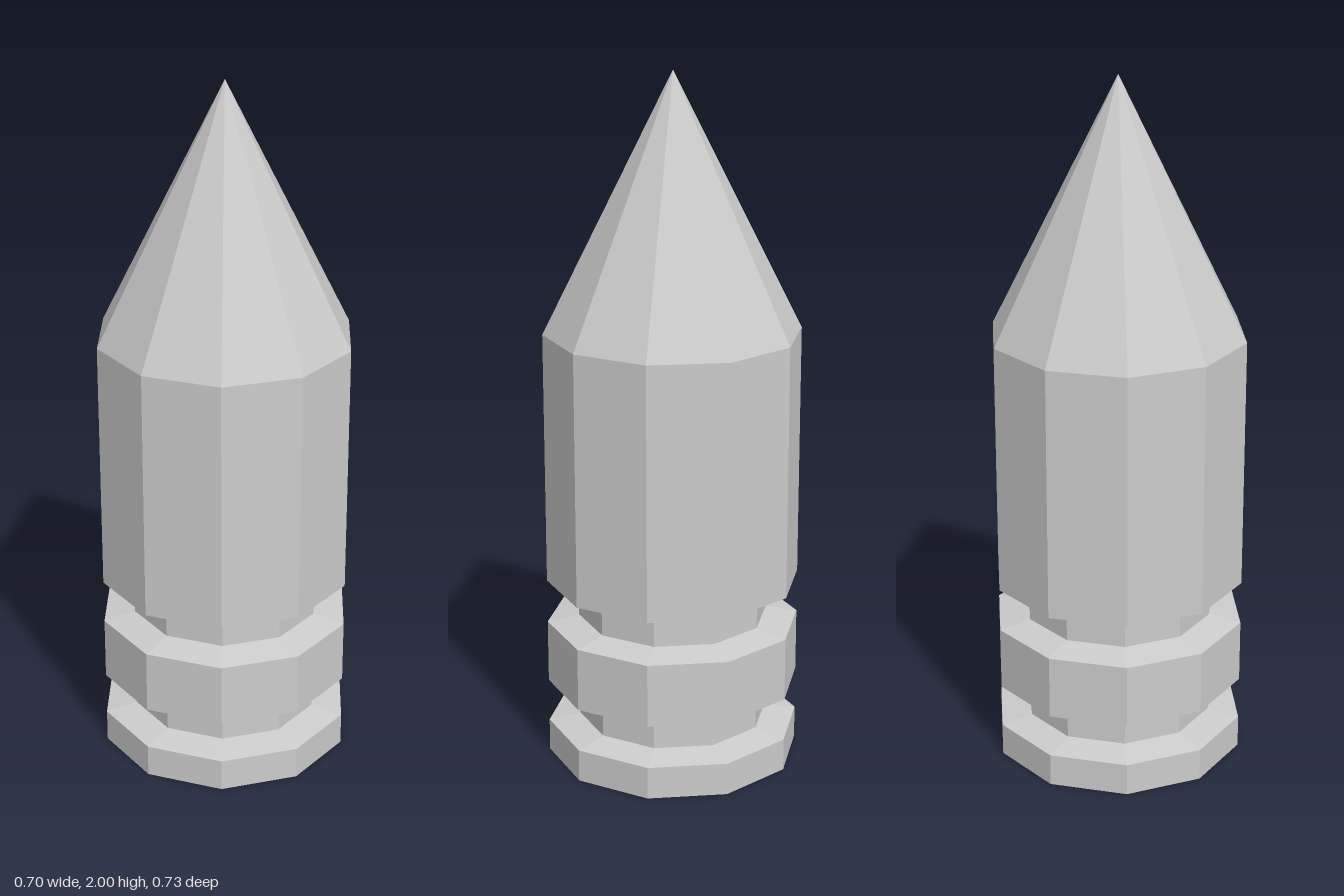
import * as THREE from 'three';

const SIDES = 10;
const R = 0.367; // outer radius
const N = 0.275; // groove and recess radius

export function createModel() {
  const group = new THREE.Group();
  const material = new THREE.MeshStandardMaterial({ color: 0xcccccc, flatShading: true });

  // Faceted ring or solid turned from a [radius, height] profile, listed so faces look outward
  const turn = (name, profile) => {
    const points = profile.map(([r, y]) => new THREE.Vector2(r, y));
    const mesh = new THREE.Mesh(new THREE.LatheGeometry(points, SIDES), material);
    mesh.name = name;
    group.add(mesh);
  };

  // Base rim with a shallow recess underneath
  turn('baseRim', [[0, 0.09], [N, 0.09], [N, 0], [R, 0], [R, 0.095], [N, 0.112]]);

  // Lower groove
  turn('lowerGroove', [[N, 0.112], [N, 0.205]]);

  // Middle band with bevelled shoulders
  turn('middleBand', [[N, 0.205], [R, 0.222], [R, 0.407], [N, 0.425]]);

  // Upper groove
  turn('upperGroove', [[N, 0.425], [N, 0.517]]);

  // Main body
  turn('body', [[N, 0.517], [R, 0.535], [R, 1.27]]);

  // Pointed tip
  turn('tip', [[R, 1.27], [0, 2]]);

  return group;
}
